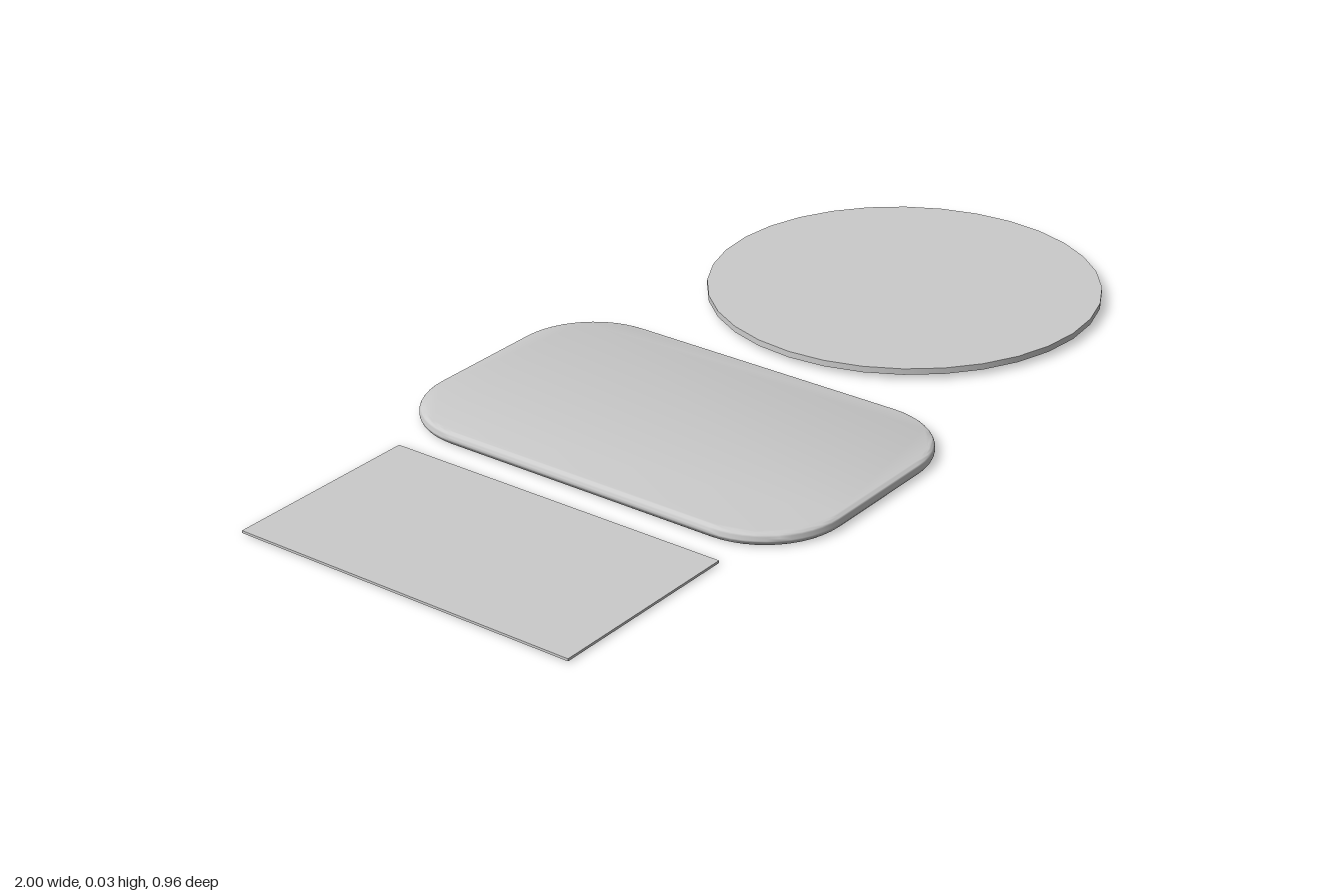
import * as THREE from 'three';
import { toCreasedNormals } from 'three/addons/utils/BufferGeometryUtils.js';

const material = new THREE.MeshStandardMaterial({ color: 0xcccccc });

function part(name, geometry, x, y, z) {
  const mesh = new THREE.Mesh(geometry, material);
  mesh.name = name;
  mesh.position.set(x, y, z);
  return mesh;
}

// Flat slab with rounded corners and a fully rounded rim, lying on y = 0
function roundedSlab(width, length, height, corner) {
  const rim = height * 0.48;
  const w = width / 2, l = length / 2;
  const shape = new THREE.Shape();
  shape.absarc(w - corner, l - corner, corner, 0, Math.PI / 2);
  shape.absarc(corner - w, l - corner, corner, Math.PI / 2, Math.PI);
  shape.absarc(corner - w, corner - l, corner, Math.PI, Math.PI * 1.5);
  shape.absarc(w - corner, corner - l, corner, Math.PI * 1.5, Math.PI * 2);
  shape.closePath();
  const geometry = new THREE.ExtrudeGeometry(shape, {
    depth: height - 2 * rim,
    bevelThickness: rim,
    bevelSize: rim,
    bevelOffset: -rim,
    bevelSegments: 6,
    curveSegments: 6,
  });
  geometry.translate(0, 0, rim);
  geometry.rotateX(-Math.PI / 2);
  return toCreasedNormals(geometry, Math.PI / 4);
}

export function createModel() {
  const group = new THREE.Group();
  group.name = 'flatShapes';

  // Thin rectangular sheet
  group.add(part('rectangularSheet', new THREE.BoxGeometry(0.425, 0.005, 0.761), -0.787, 0.0045, -0.002));

  // Rounded pad in the middle
  group.add(part('roundedPad', roundedSlab(0.6, 0.96, 0.026, 0.17), -0.21, 0, -0.002));

  // Round disc, raised slightly
  group.add(part('roundDisc', new THREE.CylinderGeometry(0.413, 0.413, 0.013, 32), 0.587, 0.0175, -0.008));

  return group;
}
